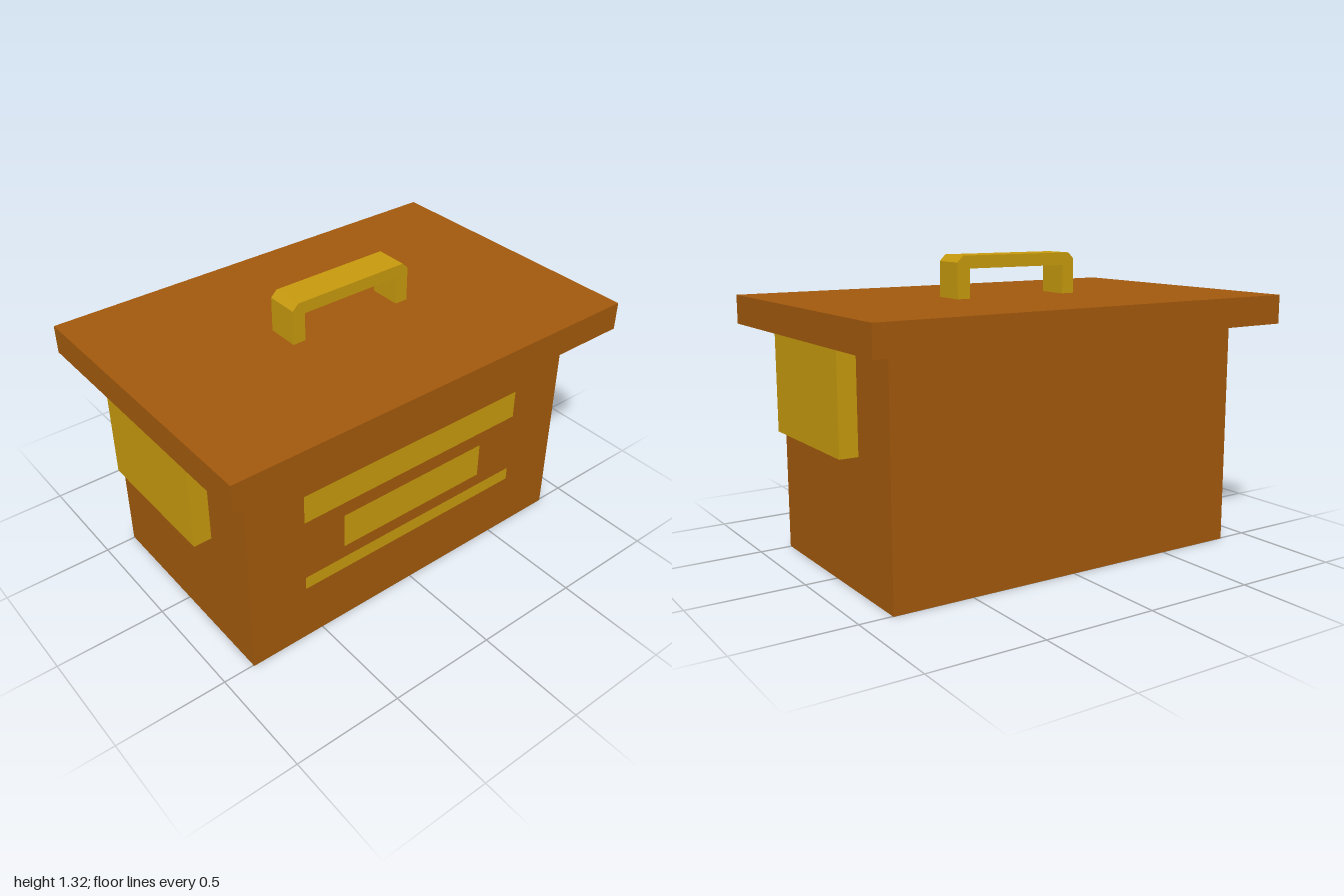
import * as THREE from 'three';

export function createModel() {
  const model = new THREE.Group();
  const wood = new THREE.MeshStandardMaterial({ color: 0xa2590c, flatShading: true });
  const brass = new THREE.MeshStandardMaterial({ color: 0xc6990d, flatShading: true });

  const add = (name, geometry, material, x, y, z) => {
    const mesh = new THREE.Mesh(geometry, material);
    mesh.name = name;
    mesh.position.set(x, y, z);
    model.add(mesh);
  };
  // Box given by its width, bottom, top and depth
  const block = (name, material, w, y0, y1, d, x = 0, z = 0) =>
    add(name, new THREE.BoxGeometry(w, y1 - y0, d), material, x, (y0 + y1) / 2, z);

  // Chest and overhanging lid
  block('body', wood, 1.714, 0, 1.014, 1.01);
  block('lid', wood, 2, 1.014, 1.142, 1.332);

  // Plates hanging from the lid at both sides
  for (const [name, side] of [['leftSidePlate', 1], ['rightSidePlate', -1]]) {
    block(name, brass, 0.08, 0.586, 1.014, 0.608, side * 0.93);
  }

  // Flat stripes on the front: width, bottom, top
  const stripes = [[1.166, 0.635, 0.77], [0.766, 0.4, 0.567], [1.166, 0.277, 0.34]];
  stripes.forEach(([w, y0, y1], i) => {
    add(`frontStripe${i + 1}`, new THREE.PlaneGeometry(w, y1 - y0), brass, 0, (y0 + y1) / 2, 0.507);
  });

  // Carrying handle: bracket with chamfered top corners
  const half = [[0.243, 0], [0.303, 0], [0.303, 0.154], [0.275, 0.182]];
  const outline = [
    ...half,
    ...half.slice(1).reverse().map(([x, y]) => [-x, y]),
    [-0.243, 0], [-0.243, 0.127], [0.243, 0.127],
  ];
  const shape = new THREE.Shape(outline.map(([x, y]) => new THREE.Vector2(x, y)));
  const bracket = new THREE.ExtrudeGeometry(shape, { depth: 0.148, bevelEnabled: false });
  add('lidHandle', bracket, brass, 0, 1.142, -0.074);

  return model;
}
